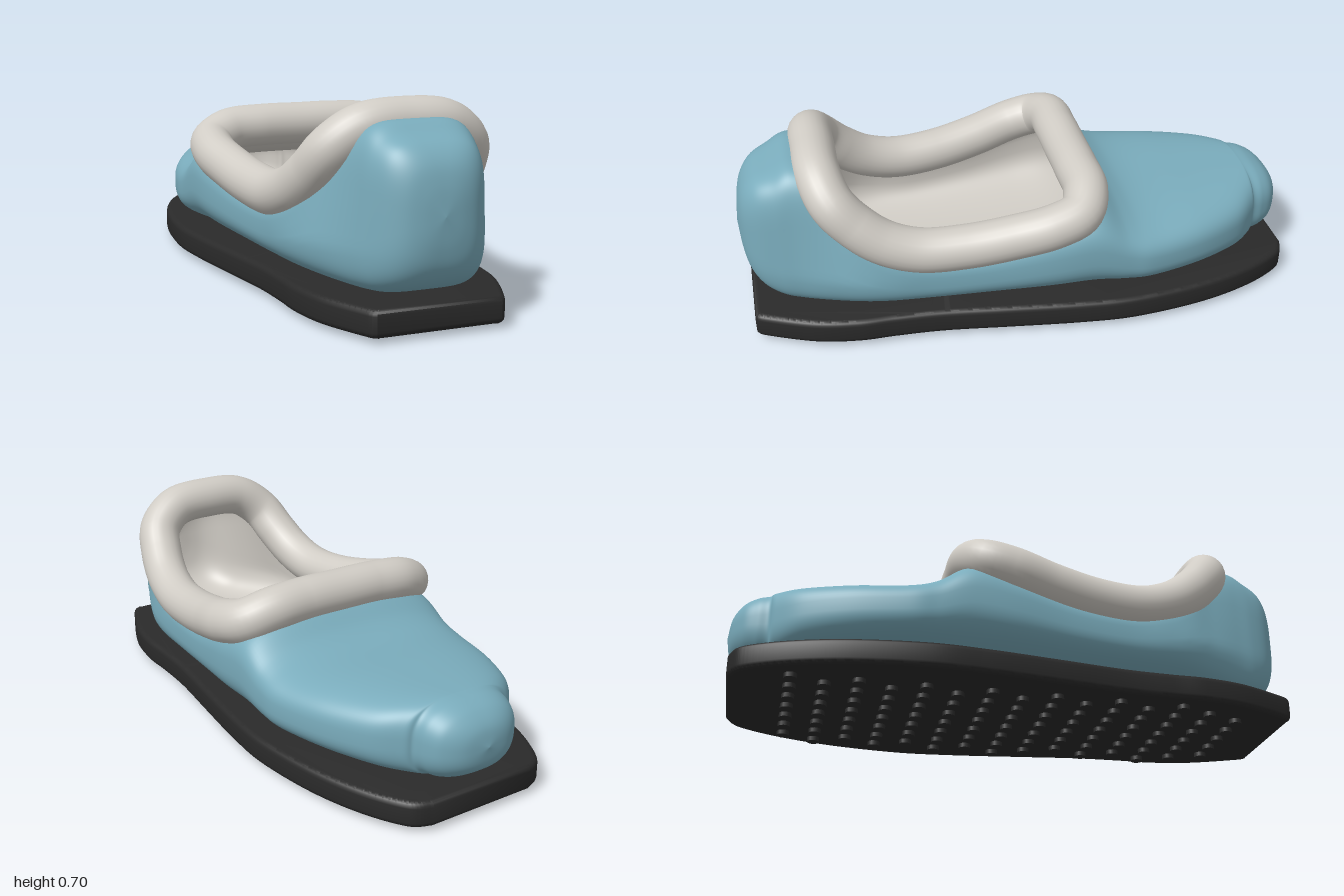
import * as THREE from 'three';
import { toCreasedNormals } from 'three/addons/utils/BufferGeometryUtils.js';

const V2 = (x, y) => new THREE.Vector2(x, y);
const V3 = (x, y, z) => new THREE.Vector3(x, y, z);

// Upper stations, toe to heel: z, half width, top, bottom, narrowing towards the top, squareness
const STATIONS = [
  [-1.0, 0, 0.24, 0.24, 0, 2.5], [-0.985, 0.09, 0.303, 0.17, 0, 2.5], [-0.95, 0.15, 0.345, 0.135, 0, 2.6],
  [-0.905, 0.178, 0.368, 0.115, 0, 2.7], [-0.865, 0.19, 0.375, 0.11, 0, 2.8], [-0.845, 0.222, 0.376, 0.11, 0, 2.9],
  [-0.76, 0.295, 0.376, 0.11, 0, 2.9], [-0.6, 0.366, 0.375, 0.11, 0, 2.9], [-0.42, 0.41, 0.376, 0.11, 0, 2.9],
  [-0.32, 0.415, 0.405, 0.11, 0, 2.9], [-0.2, 0.415, 0.48, 0.11, 0, 2.9], [-0.05, 0.405, 0.45, 0.11, 0, 2.9],
  [0.15, 0.375, 0.39, 0.11, 0, 2.9], [0.35, 0.352, 0.37, 0.11, 0, 3], [0.5, 0.343, 0.415, 0.11, 0.05, 3.2],
  [0.6, 0.325, 0.49, 0.11, 0.13, 3.6], [0.7, 0.285, 0.612, 0.11, 0.25, 4.4], [0.8, 0.237, 0.637, 0.11, 0.18, 4.6],
  [0.87, 0.206, 0.605, 0.12, 0.1, 4.4], [0.93, 0.17, 0.577, 0.15, 0.05, 4], [0.97, 0.125, 0.53, 0.2, 0.02, 3.5],
  [0.99, 0.072, 0.465, 0.27, 0, 3], [1.0, 0, 0.37, 0.37, 0, 3],
];

// Right half of the collar path, from behind the instep to the heel
const COLLAR_HALF = [
  [0.14, 0.5, -0.19], [0.27, 0.49, -0.188], [0.348, 0.456, -0.15], [0.367, 0.427, -0.06],
  [0.348, 0.39, 0.08], [0.326, 0.362, 0.24], [0.308, 0.359, 0.4], [0.29, 0.397, 0.52],
  [0.266, 0.464, 0.612], [0.232, 0.54, 0.68], [0.145, 0.604, 0.712],
];

function collarCurve() {
  const right = COLLAR_HALF.map(p => V3(...p));
  const left = COLLAR_HALF.map(([x, y, z]) => V3(-x, y, z)).reverse();
  return new THREE.CatmullRomCurve3(
    [V3(0, 0.5, -0.19), ...right, V3(0, 0.619, 0.715), ...left], true);
}

// Even-odd test in plan
function inside(x, z, poly) {
  let hit = false;
  for (let i = 0, j = poly.length - 1; i < poly.length; j = i++) {
    const a = poly[i], b = poly[j];
    if ((a.z > z) !== (b.z > z) && x < (b.x - a.x) * (z - a.z) / (b.z - a.z) + a.x) hit = !hit;
  }
  return hit;
}

// Lofted shell with the foot opening left out
function shoeShell(opening, wScale, hScale, zScale) {
  const sizes = new THREE.CatmullRomCurve3(STATIONS.map(s => V3(s[1], s[2], s[0])), false, 'catmullrom');
  const extras = new THREE.CatmullRomCurve3(STATIONS.map(s => V3(s[3], s[4], s[5])), false, 'catmullrom');
  const rows = (STATIONS.length - 1) * 8, cols = 96, pos = [];
  for (let i = 0; i <= rows; i++) {
    const s = sizes.getPoint(i / rows), e = extras.getPoint(i / rows);
    const power = v => Math.sign(v) * Math.abs(v) ** (2 / e.z);
    const mid = (s.y + e.x) / 2, h = Math.max(0.0004, (s.y - e.x) / 2) * hScale;
    for (let j = 0; j < cols; j++) {
      const a = j / cols * Math.PI * 2;
      const y = mid + h * power(Math.sin(a));
      const rise = THREE.MathUtils.clamp((y - 0.25) / Math.max(0.05, s.y - 0.25), 0, 1);
      const x = Math.max(0.0004, s.x) * wScale * power(Math.cos(a)) * (1 - e.y * rise);
      pos.push(x, y, s.z * zScale);
    }
  }
  const all = [], kept = [];
  for (let i = 0; i < rows; i++) {
    for (let j = 0; j < cols; j++) {
      const a = i * cols + j, b = i * cols + (j + 1) % cols, c = b + cols, d = a + cols;
      const quad = [a, b, d, b, c, d];
      all.push(...quad);
      const x = (pos[a * 3] + pos[c * 3]) / 2, z = (pos[a * 3 + 2] + pos[c * 3 + 2]) / 2;
      if (j >= cols / 2 || !inside(x, z, opening)) kept.push(...quad);
    }
  }
  const g = new THREE.BufferGeometry();
  g.setAttribute('position', new THREE.Float32BufferAttribute(pos, 3));
  g.setIndex(all);
  g.computeVertexNormals();
  g.setIndex(kept);
  return g;
}

// Flat outsole with rounded rim, waisted ahead of the heel
function soleGeometry() {
  const half = [[0.2, -0.985], [0.27, -0.945], [0.345, -0.8], [0.4, -0.6], [0.427, -0.35], [0.415, -0.15],
    [0.382, 0.1], [0.35, 0.33], [0.34, 0.5], [0.337, 0.63], [0.308, 0.78], [0.235, 0.95], [0.21, 0.98]];
  const shape = new THREE.Shape();
  shape.moveTo(-0.2, 0.985);
  shape.lineTo(0.2, 0.985);
  shape.splineThru(half.slice(1).map(([x, z]) => V2(x, -z)));
  shape.lineTo(-0.21, -0.98);
  shape.splineThru(half.slice(0, -1).reverse().map(([x, z]) => V2(-x, -z)));
  const g = new THREE.ExtrudeGeometry(shape, {
    depth: 0.05, bevelEnabled: true, bevelThickness: 0.02, bevelSize: 0.02,
    bevelOffset: -0.02, bevelSegments: 4, curveSegments: 40,
  });
  g.rotateX(-Math.PI / 2).translate(0, 0.036, 0);
  return toCreasedNormals(g, 0.6);
}

export function createModel() {
  const group = new THREE.Group();
  const mat = (name, color) => Object.assign(new THREE.MeshStandardMaterial({ color }), { name });
  const teal = mat('teal fabric', 0x7aacbc);
  const grey = mat('grey lining', 0xd0ccc5);
  const black = mat('black rubber', 0x2a2a2a);
  teal.side = grey.side = THREE.DoubleSide;
  const add = (name, geometry, material, parent = group) => {
    const m = new THREE.Mesh(geometry, material);
    m.name = name;
    parent.add(m);
    return m;
  };

  const curve = collarCurve();
  const opening = curve.getPoints(160);
  add('upper', shoeShell(opening, 1, 1, 1), teal);
  add('lining', shoeShell(opening, 0.94, 0.88, 0.985), grey);
  add('collar', new THREE.TubeGeometry(curve, 200, 0.078, 24, true), grey);
  add('sole', soleGeometry(), black);

  // Staggered grip studs under the sole
  const treads = new THREE.Group();
  treads.name = 'treads';
  group.add(treads);
  const stud = new THREE.CylinderGeometry(0.022, 0.022, 0.024, 12);
  for (let r = 0; r < 15; r++) {
    const z = -0.78 + r * 0.1115;
    const limit = z > 0.7 ? 0.2 : z > 0.1 ? 0.28 : z < -0.7 ? 0.28 : 0.33;
    for (let c = 0; c < 7; c++) {
      const x = -0.27 + c * 0.09 + (r % 2) * 0.045;
      if (Math.abs(x) < limit) add('tread', stud, black, treads).position.set(x, 0.012, z);
    }
  }
  return group;
}
